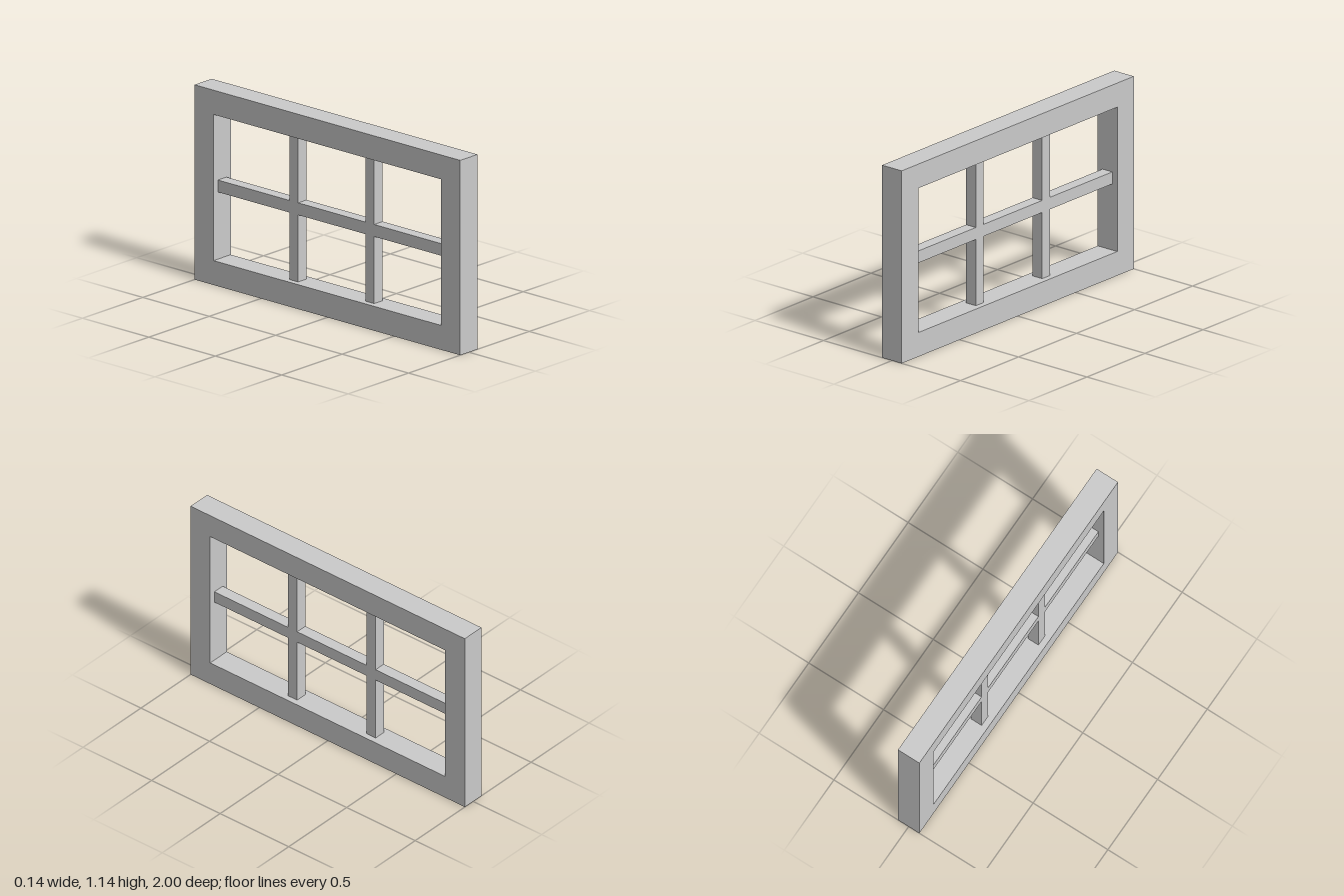
import * as THREE from 'three';

const HALF = 1, HEIGHT = 1.143, DEPTH = 0.143, BORDER = 0.143;
const BAR_DEPTH = 0.071, RAIL = 0.071, MULLION = 0.066, MULLION_Z = 0.286;

const material = new THREE.MeshStandardMaterial({ color: 0xcccccc, flatShading: true });

function rectangle(Type, x0, y0, x1, y1) {
  return new Type([[x0, y0], [x1, y0], [x1, y1], [x0, y1]].map(([x, y]) => new THREE.Vector2(x, y)));
}

// Extrudes an outline evenly about its plane and turns it to span the z axis
function slab(shape, depth, name) {
  const geometry = new THREE.ExtrudeGeometry(shape, { depth, bevelEnabled: false });
  geometry.translate(0, 0, -depth / 2).rotateY(-Math.PI / 2);
  const mesh = new THREE.Mesh(geometry, material);
  mesh.name = name;
  return mesh;
}

export function createModel() {
  const group = new THREE.Group();
  group.name = 'window';
  const inner = HALF - BORDER, bottom = BORDER, top = HEIGHT - BORDER;

  // Outer frame with one rectangular opening
  const outline = rectangle(THREE.Shape, -HALF, 0, HALF, HEIGHT);
  outline.holes.push(rectangle(THREE.Path, -inner, bottom, inner, top));
  group.add(slab(outline, DEPTH, 'frame'));

  // Thinner glazing bars: one rail crossed by two mullions, as a single outline
  const low = HEIGHT / 2 - RAIL / 2, high = HEIGHT / 2 + RAIL / 2, w = MULLION / 2;
  const bars = new THREE.Shape();
  bars.moveTo(-inner, low);
  for (const [side, mid, end] of [[1, low, bottom], [-1, high, top]]) {
    for (const c of [-MULLION_Z * side, MULLION_Z * side]) {
      bars.lineTo(c - w * side, mid);
      bars.lineTo(c - w * side, end);
      bars.lineTo(c + w * side, end);
      bars.lineTo(c + w * side, mid);
    }
    bars.lineTo(inner * side, mid);
    if (side > 0) bars.lineTo(inner, high);
  }
  bars.closePath();
  group.add(slab(bars, BAR_DEPTH, 'glazingBars'));

  return group;
}
